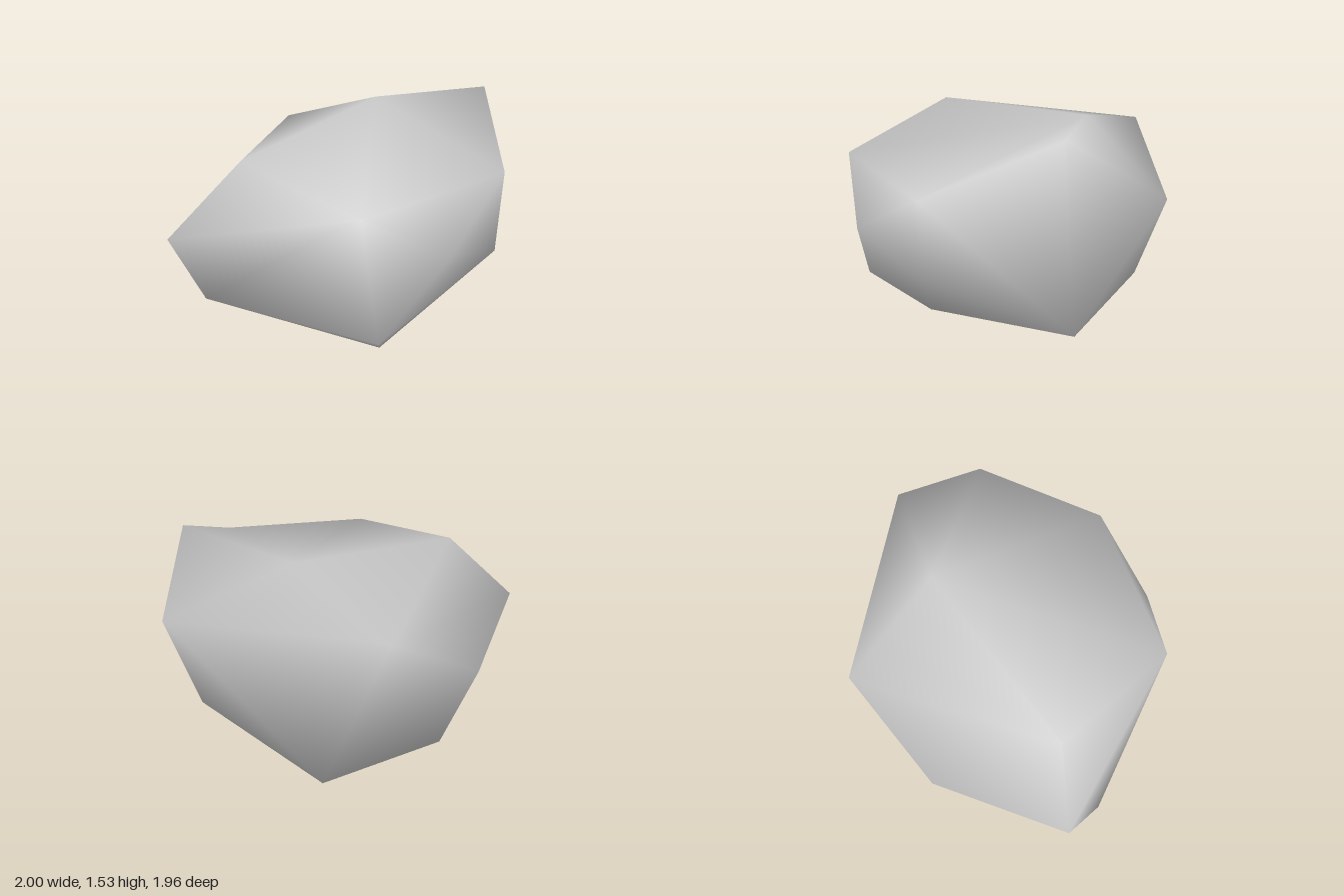
import * as THREE from 'three';
import { mergeVertices } from 'three/addons/utils/BufferGeometryUtils.js';
import { ConvexGeometry } from 'three/addons/geometries/ConvexGeometry.js';

// The peak is pulled up out of the convex shell, leaving a slight hollow on the top
const peakBase = new THREE.Vector3(0.92, 1.3, -0.43);
const peakHeight = 1.53;

// Remaining corner points of the boulder, from top to bottom
const corners = [
  // top rim
  [1.0, 1.19, 0.36], [0.19, 1.11, 0.98], [-0.57, 1.25, 0.48], [0.18, 1.42, -0.53],
  // back shoulder
  [0.81, 1.18, -0.98], [-0.5, 1.18, -0.87],
  // waist
  [0.98, 0.67, 0.35], [0.69, 0.83, 0.8], [-1.0, 0.8, 0.66], [-0.91, 0.7, -0.26], [-0.74, 0.5, 0.82],
  // underside
  [0.29, 0.28, 0.88], [0.28, 0, 0.47], [0.88, 0.29, -0.52], [-0.1, 0.16, -0.92], [-0.71, 0.17, -0.34],
];

// Shell with shared corners, so the shading is smooth across its facets
function boulderGeometry() {
  const points = corners.map((p) => new THREE.Vector3(...p));
  const hull = new ConvexGeometry([peakBase, ...points]);
  hull.deleteAttribute('normal');
  const geometry = mergeVertices(hull, 1e-4);

  // Raise the peak
  const position = geometry.attributes.position;
  const v = new THREE.Vector3();
  for (let i = 0; i < position.count; i++) {
    v.fromBufferAttribute(position, i);
    if (v.distanceTo(peakBase) < 1e-3) position.setY(i, peakHeight);
  }

  geometry.computeVertexNormals();
  return geometry;
}

export function createModel() {
  const group = new THREE.Group();
  group.name = 'boulder';

  const stone = new THREE.MeshStandardMaterial({ color: 0xc8c8c8 });
  stone.name = 'stone grey';

  const rock = new THREE.Mesh(boulderGeometry(), stone);
  rock.name = 'rock';
  group.add(rock);

  return group;
}
